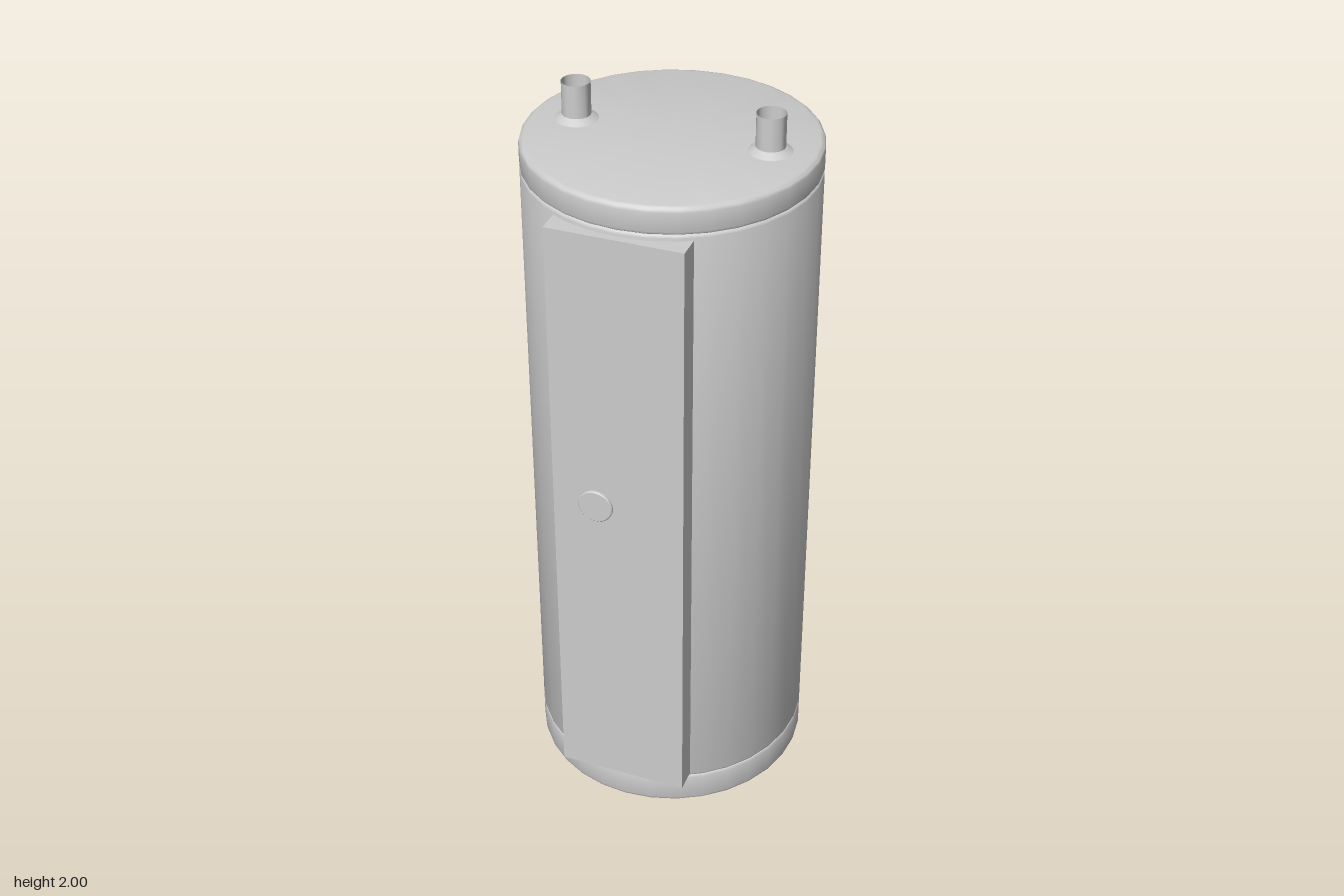
import * as THREE from 'three';
import { toCreasedNormals } from 'three/addons/utils/BufferGeometryUtils.js';

const RADIUS = 0.377, AXIS_Z = -0.0125;
const grey = new THREE.MeshStandardMaterial({ color: 0xcccccc });
const greyDouble = new THREE.MeshStandardMaterial({ color: 0xcccccc, side: THREE.DoubleSide });

function addMesh(parent, name, geometry, material = grey) {
  const mesh = new THREE.Mesh(geometry, material);
  mesh.name = name;
  parent.add(mesh);
  return mesh;
}

// Turned part from [radius, y] pairs listed bottom to top, keeping hard edges
function turned(pairs, segments) {
  const points = pairs.map(([r, y]) => new THREE.Vector2(r, y));
  return toCreasedNormals(new THREE.LatheGeometry(points, segments), 0.7);
}

// Closed drum whose lower and upper rims are rounded by the given radii
function drum(y0, y1, lower, upper) {
  const pairs = [[0, y0]];
  for (let i = 0; i <= 3; i++) {
    const a = (i / 3) * Math.PI / 2;
    pairs.push([RADIUS - lower * (1 - Math.sin(a)), y0 + lower * (1 - Math.cos(a))]);
  }
  for (let i = 0; i <= 3; i++) {
    const a = (i / 3) * Math.PI / 2;
    pairs.push([RADIUS - upper * (1 - Math.cos(a)), y1 - upper * (1 - Math.sin(a))]);
  }
  pairs.push([0, y1]);
  return turned(pairs, 32);
}

export function createModel() {
  const model = new THREE.Group();
  model.name = 'waterHeater';

  // Tank: base, jacket and lid separated by fine rounded seams
  const tank = new THREE.Group();
  tank.name = 'tank';
  tank.position.z = AXIS_Z;
  model.add(tank);
  addMesh(tank, 'base', drum(0, 0.092, 0.01, 0.007));
  addMesh(tank, 'jacket', drum(0.092, 1.828, 0.007, 0.007));
  addMesh(tank, 'lid', drum(1.828, 1.9, 0.007, 0.014));

  // Open water pipes with flared collars
  for (const [side, name] of [[-1, 'rightPipe'], [1, 'leftPipe']]) {
    const pipe = new THREE.Group();
    pipe.name = name;
    pipe.position.set(side * 0.253, 0, 0);
    tank.add(pipe);
    addMesh(pipe, 'collar', turned([[0.057, 1.899], [0.047, 1.906], [0.037, 1.913]], 24), greyDouble);
    addMesh(pipe, 'tube', turned([[0.037, 1.9], [0.037, 2]], 24), greyDouble);
  }

  // Flat front cover, let into the jacket
  const cover = addMesh(model, 'frontCover', new THREE.BoxGeometry(0.355, 1.71, 0.08));
  cover.position.set(0, 0.957, 0.342);

  // Round dial on the cover
  const dial = addMesh(model, 'dial', turned([[0.047, 0], [0.047, 0.006], [0.044, 0.009], [0, 0.009]], 24));
  dial.rotation.x = Math.PI / 2;
  dial.position.set(-0.06, 1.025, 0.381);

  return model;
}
